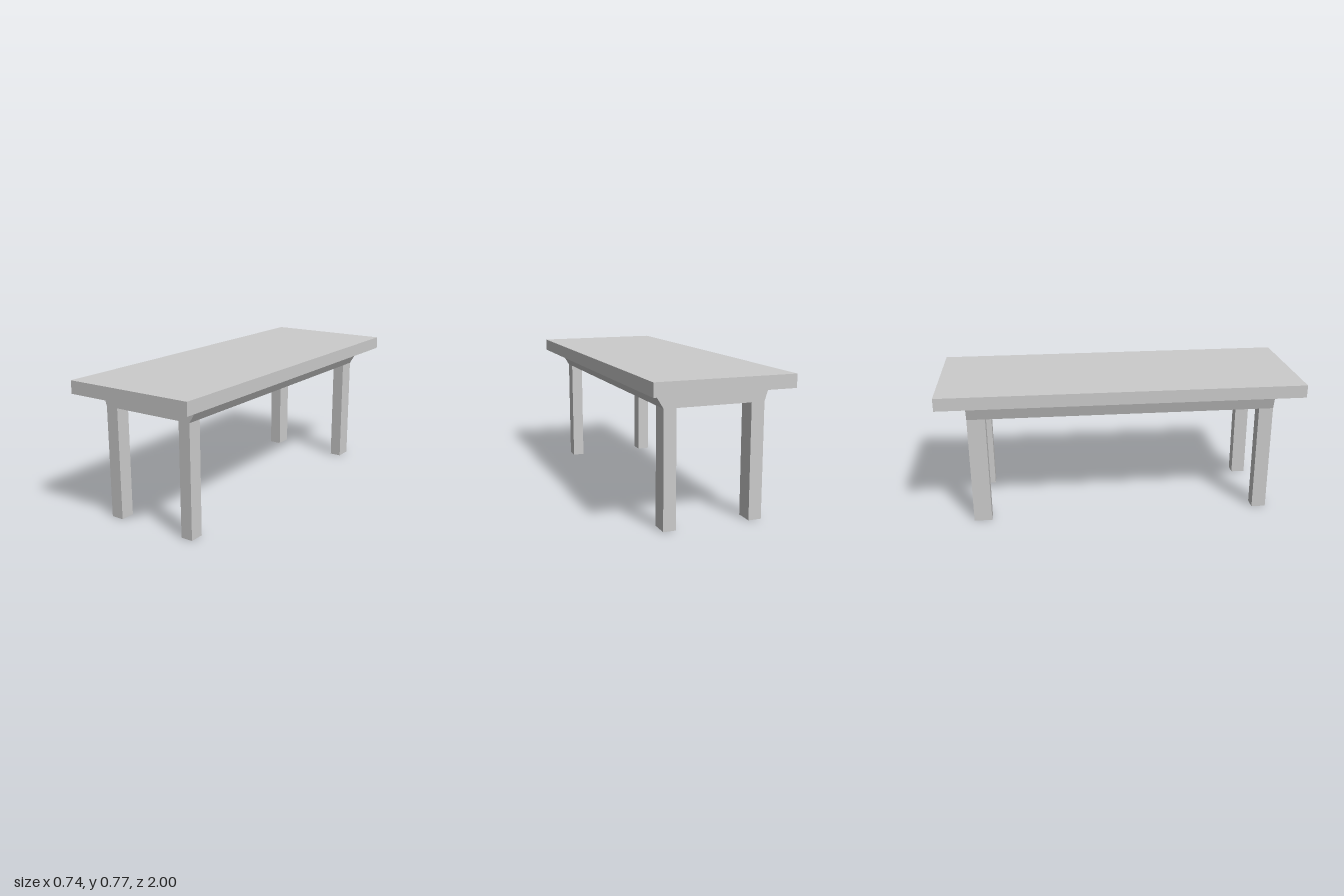
import * as THREE from 'three';

export function createModel() {
  const table = new THREE.Group();
  table.name = 'table';
  const material = new THREE.MeshStandardMaterial({ color: 0xcccccc, flatShading: true });

  const undersideY = 0.701, apronY = 0.614, topY = 0.771, endZ = 0.844;

  function add(name, geometry) {
    const mesh = new THREE.Mesh(geometry, material);
    mesh.name = name;
    table.add(mesh);
  }

  // Box given by its extents along each axis
  function box(name, [x0, x1], [y0, y1], [z0, z1]) {
    const geometry = new THREE.BoxGeometry(x1 - x0, y1 - y0, z1 - z0);
    geometry.translate((x0 + x1) / 2, (y0 + y1) / 2, (z0 + z1) / 2);
    add(name, geometry);
  }

  // Table top slab
  box('tableTop', [-0.371, 0.371], [undersideY, topY], [-1, 1]);

  // Solid apron with flared sides, running the length of the table
  const profile = new THREE.Shape([
    new THREE.Vector2(-0.286, apronY),
    new THREE.Vector2(0.257, apronY),
    new THREE.Vector2(0.31, undersideY),
    new THREE.Vector2(-0.313, undersideY),
  ]);
  const apron = new THREE.ExtrudeGeometry(profile, { depth: 2 * endZ, bevelEnabled: false });
  apron.translate(0, 0, -endZ);
  add('apron', apron);

  // Four square legs, flush with the apron's lower corners
  const sides = { Right: [-0.286, -0.214], Left: [0.19, 0.257] };
  const ends = { front: [0.764, endZ], back: [-endZ, -0.745] };
  for (const [end, z] of Object.entries(ends)) {
    for (const [side, x] of Object.entries(sides)) {
      box(`${end}${side}Leg`, x, [0, apronY], z);
    }
  }

  return table;
}
